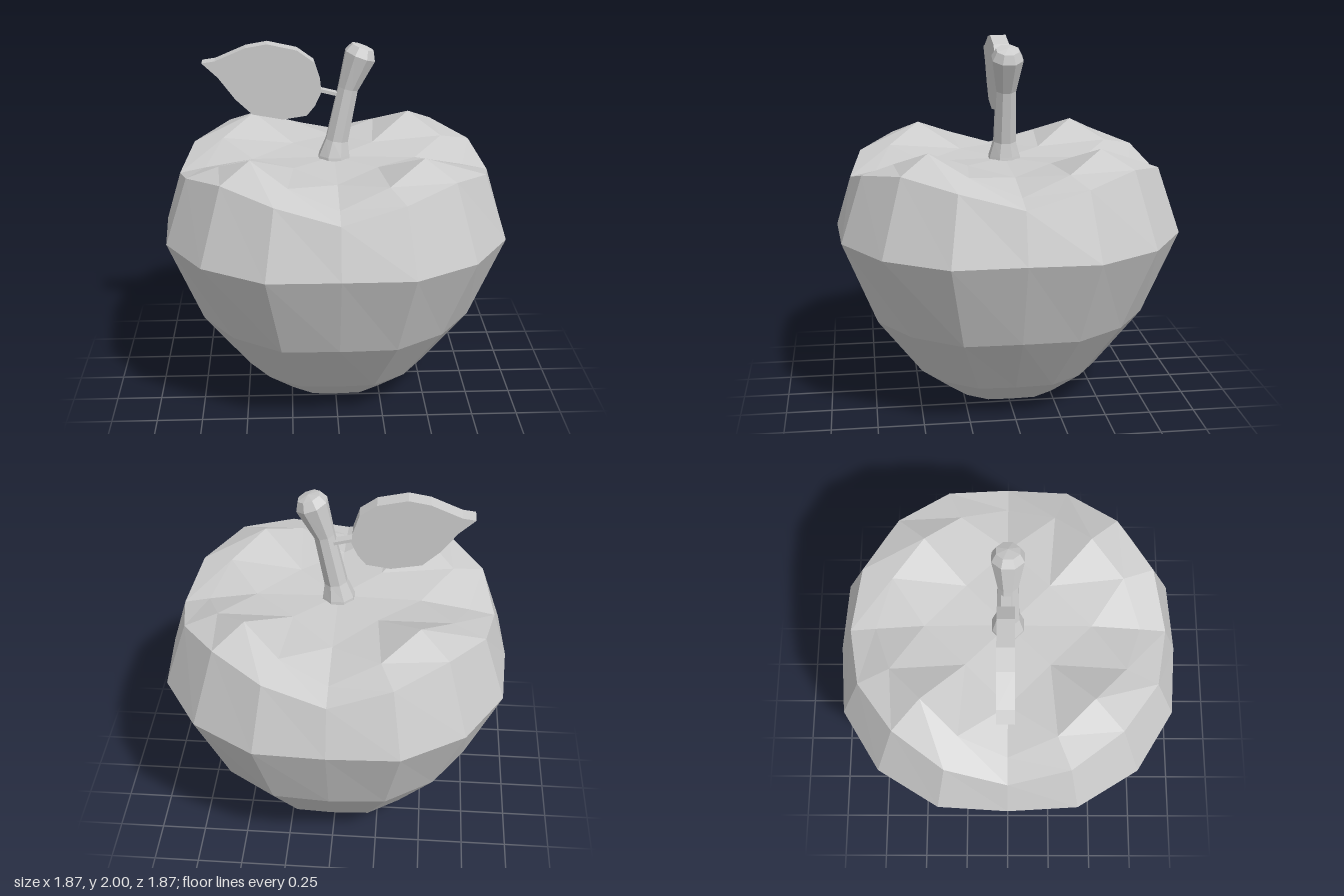
import * as THREE from 'three';

const grey = new THREE.MeshStandardMaterial({ color: 0xcccccc, flatShading: true });
grey.name = 'plain grey';

// Collects quads and turns them into a faceted geometry
function quadBuilder() {
  const pos = [];
  const tri = (...pts) => pts.forEach(p => pos.push(...p));
  return {
    tri,
    quad(a, b, c, d, flip) {
      if (flip) { tri(b, c, d); tri(b, d, a); } else { tri(a, b, c); tri(a, c, d); }
    },
    geometry() {
      const g = new THREE.BufferGeometry();
      g.setAttribute('position', new THREE.Float32BufferAttribute(pos, 3));
      g.computeVertexNormals();
      return g;
    },
  };
}

const polar = (r, a, y) => [r * Math.cos(a), y, r * Math.sin(a)];

// Rings of 16 points; each lists [radius, y] on the axes, between, and on the diagonals
const bodyRings = [
  [[0.32, 0.045], [0.34, 0.045], [0.34, 0.045]],
  [[0.50, 0.19], [0.53, 0.19], [0.53, 0.19]],
  [[0.76, 0.54], [0.79, 0.53], [0.79, 0.53]],
  [[0.935, 1.01], [0.985, 1.0], [1.0, 1.0]],
  [[0.855, 1.275], [0.86, 1.355], [0.85, 1.405]],
  [[0.715, 1.305], [0.677, 1.395], [0.64, 1.49]],
].map(([axis, mid, diag]) => Array.from({ length: 16 }, (_, k) => {
  const [r, y] = [axis, mid, diag, mid][k % 4];
  return polar(r, k * Math.PI / 8, y);
}));

// Closes a ring with a 4 x 4 patch turned by 45 degrees
function addPatch(q, ring, edge, corner, centreY, up) {
  const point = (u, v) => {
    const a = Math.atan2(v, u) + Math.PI / 4;
    if (Math.max(Math.abs(u), Math.abs(v)) === 2) {
      return ring[(Math.round(a / (Math.PI / 8)) + 16) % 16];
    }
    if (!u && !v) return [0, centreY, 0];
    return polar(...(u && v ? [corner[0], a, corner[1]] : [edge[0], a, edge[1]]));
  };
  for (let u = -2; u < 2; u++) {
    for (let v = -2; v < 2; v++) {
      const a = point(u, v), b = point(u, v + 1), c = point(u + 1, v + 1), d = point(u + 1, v);
      const flip = (u + 0.5) * (v + 0.5) < 0;
      if (up) q.quad(a, b, c, d, flip);
      else q.quad(a, d, c, b, flip);
    }
  }
}

function bodyGeometry() {
  const q = quadBuilder();
  for (let i = 0; i < bodyRings.length - 1; i++) {
    const lo = bodyRings[i], hi = bodyRings[i + 1];
    for (let k = 0; k < 16; k++) {
      const n = (k + 1) % 16;
      q.quad(lo[k], hi[k], hi[n], lo[n]);
    }
  }
  addPatch(q, bodyRings[0], [0.17, 0.01], [0.23, 0.015], 0, false);
  addPatch(q, bodyRings[5], [0.32, 1.37], [0.45, 1.35], 1.36, true);
  return q.geometry();
}

// Eight-sided stem from tilted sections: x, y, radius, tilt
function stemGeometry() {
  const q = quadBuilder();
  const rings = [
    [0, 1.34, 0.095, 0],
    [0, 1.375, 0.09, 0],
    [0.015, 1.46, 0.065, 0.15],
    [0.075, 1.75, 0.058, 0.25],
    [0.14, 1.93, 0.09, 0.36],
    [0.155, 1.975, 0.065, 0.36],
  ].map(([x, y, r, t]) => Array.from({ length: 8 }, (_, k) => {
    const [px, , pz] = polar(r, (k + 0.5) * Math.PI / 4, 0);
    return [x + px * Math.cos(t), y - px * Math.sin(t), pz];
  }));
  for (let i = 0; i < rings.length - 1; i++) {
    for (let k = 0; k < 8; k++) {
      const n = (k + 1) % 8;
      q.quad(rings[i][k], rings[i + 1][k], rings[i + 1][n], rings[i][n]);
    }
  }
  const top = rings[rings.length - 1];
  for (let k = 0; k < 8; k++) q.tri([0.16, 1.985, 0], top[(k + 1) % 8], top[k]);
  return q.geometry();
}

// Flat leaf with a pointed tip
function leafGeometry() {
  const outline = [
    [-0.71, 1.90], [-0.625, 1.82], [-0.535, 1.70], [-0.445, 1.615], [-0.28, 1.585],
    [-0.15, 1.605], [-0.105, 1.66], [-0.07, 1.735], [-0.075, 1.79], [-0.11, 1.90],
    [-0.2, 1.965], [-0.36, 2.0], [-0.475, 1.98], [-0.64, 1.91],
  ].map(p => new THREE.Vector2(...p));
  const g = new THREE.ExtrudeGeometry(new THREE.Shape(outline), { depth: 0.09, bevelEnabled: false });
  return g.translate(0, 0, -0.055);
}

export function createModel() {
  const group = new THREE.Group();
  group.name = 'apple';
  const add = (name, geometry) => {
    const mesh = new THREE.Mesh(geometry, grey);
    mesh.name = name;
    group.add(mesh);
    return mesh;
  };
  add('body', bodyGeometry());
  add('stem', stemGeometry());
  add('leaf', leafGeometry());
  // Short stalk joining leaf and stem
  const stalk = add('leafStalk', new THREE.BoxGeometry(0.13, 0.018, 0.05));
  stalk.position.set(-0.02, 1.725, -0.01);
  stalk.rotation.z = -0.24;
  return group;
}
